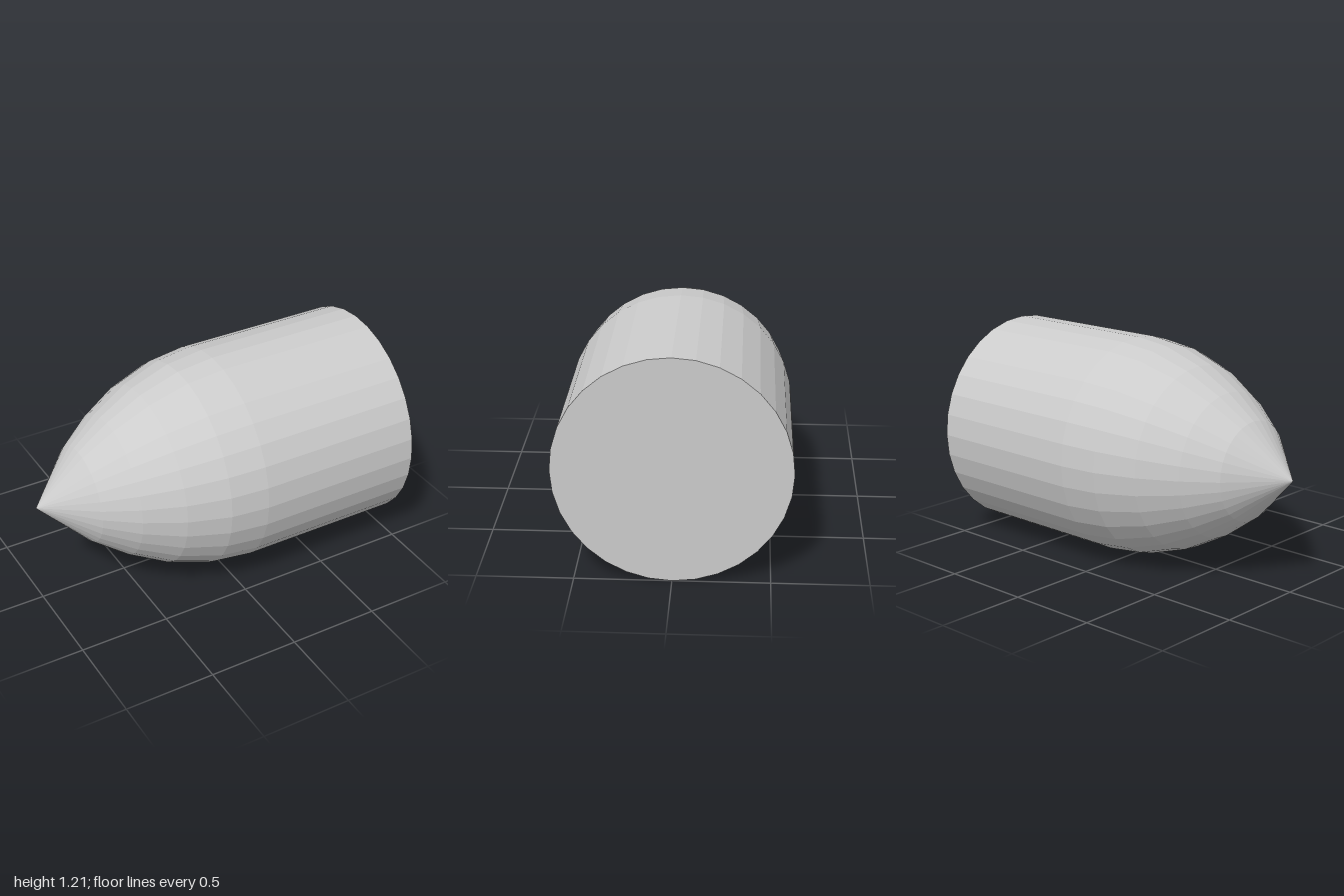
import * as THREE from 'three';

const RADIUS = 0.605;
const SIDES = 32;

export function createModel() {
  const group = new THREE.Group();
  group.name = 'pointedCylinder';
  const material = new THREE.MeshStandardMaterial({ color: 0xcccccc, flatShading: true });

  // Revolve [position along the axis, radius] pairs, then lay the axis along x
  const addLathe = (name, profile) => {
    const points = profile.map(([along, radius]) => new THREE.Vector2(radius, along));
    const geometry = new THREE.LatheGeometry(points, SIDES).rotateZ(-Math.PI / 2);
    const mesh = new THREE.Mesh(geometry, material);
    mesh.name = name;
    mesh.position.y = RADIUS;
    group.add(mesh);
  };

  // Curved nose, from the tip to the shoulder
  addLathe('nose', [
    [-1, 0], [-0.74, 0.27], [-0.57, 0.395], [-0.365, 0.506], [-0.14, 0.58], [0.07, RADIUS],
  ]);

  // Straight body closed by a flat end
  addLathe('body', [[0.07, RADIUS], [1, RADIUS], [1, 0]]);

  return group;
}
